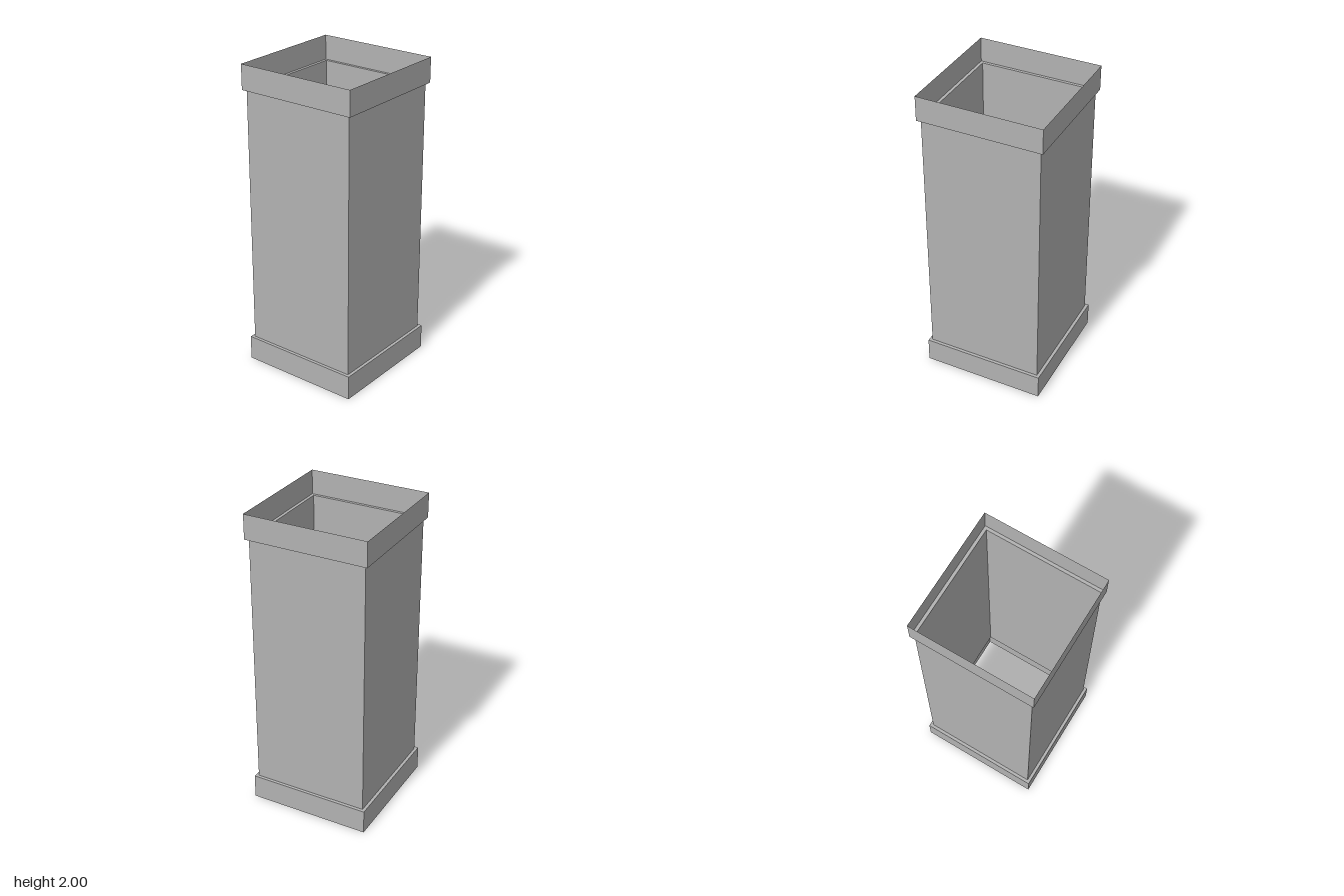
import * as THREE from 'three';

const OUTER = 0.4, INNER = 0.38, HEIGHT = 2, COLLAR = 0.16;

// Open square tube with thin walls, flat on each side
function squareTube(half, y0, y1) {
  const r = half * Math.SQRT2;
  const indexed = new THREE.CylinderGeometry(r, r, y1 - y0, 4, 1, true, Math.PI / 4);
  const geometry = indexed.toNonIndexed();
  geometry.computeVertexNormals();
  return geometry.translate(0, (y0 + y1) / 2, 0);
}

// Flat square frame joining the shaft to a collar
function squareFrame(y, facing) {
  return new THREE.RingGeometry(INNER * Math.SQRT2, OUTER * Math.SQRT2, 4, 1, Math.PI / 4)
    .rotateX(-facing * Math.PI / 2)
    .translate(0, y, 0);
}

export function createModel() {
  const group = new THREE.Group();
  group.name = 'squareDuct';
  const grey = new THREE.MeshStandardMaterial({ color: 0xb2b2b2, side: THREE.DoubleSide });
  grey.name = 'grey';

  const add = (name, geometry) => {
    const mesh = new THREE.Mesh(geometry, grey);
    mesh.name = name;
    group.add(mesh);
  };

  // Shaft, open at both ends
  add('shaft', squareTube(INNER, COLLAR, HEIGHT - COLLAR));

  // Wider collars, each with a narrow step to the shaft
  add('bottomCollar', squareTube(OUTER, 0, COLLAR));
  add('bottomStep', squareFrame(COLLAR, 1));
  add('topCollar', squareTube(OUTER, HEIGHT - COLLAR, HEIGHT));
  add('topStep', squareFrame(HEIGHT - COLLAR, -1));

  return group;
}
